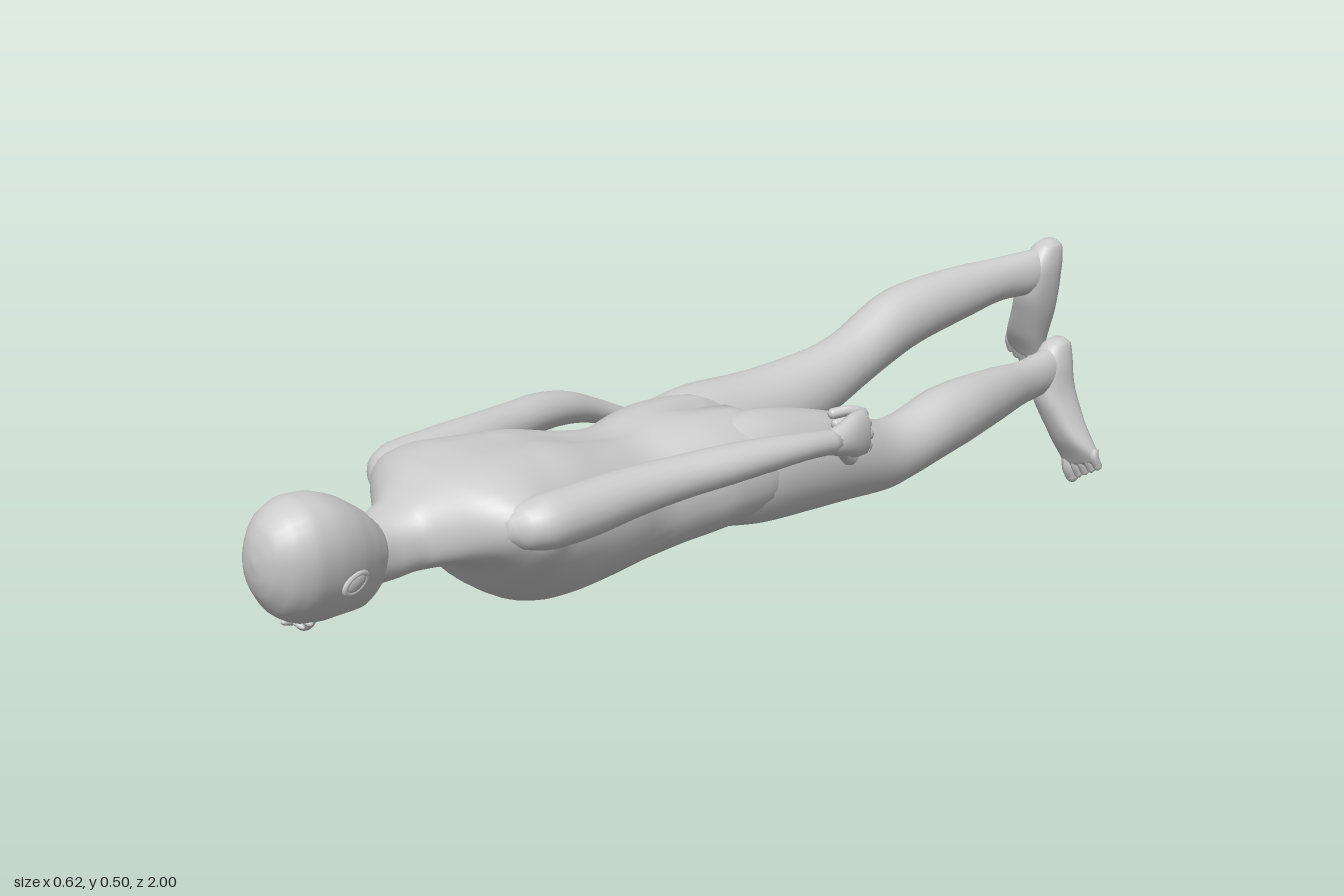
import * as THREE from 'three';

const material = new THREE.MeshStandardMaterial({ color: 0xcccccc, side: THREE.DoubleSide });
const V = (x, y, z) => new THREE.Vector3(x, y, z);
const bump = (t, centre, width) => Math.exp(-(((t - centre) / width) ** 2));

function add(parent, name, geometry) {
  const mesh = new THREE.Mesh(geometry, material);
  mesh.name = name;
  parent.add(mesh);
  return mesh;
}

// Smooth skin over rounded sections. Row: [along, centreU, centreV, radiusU, radiusV].
// Axis 'z' uses (u, v) = (x, y); axis 'y' uses (u, v) = (z, x). Power under 1 squares the section.
function loft(rows, { axis = 'z', sides = 20, steps = 4, power = 1, shape } = {}) {
  if (rows[0][0] > rows[rows.length - 1][0]) rows = [...rows].reverse();
  const centres = new THREE.CatmullRomCurve3(rows.map(r => V(r[1], r[2], r[0])));
  const radii = new THREE.CatmullRomCurve3(rows.map(r => V(r[3], r[4], 0)));
  const pow = c => Math.sign(c) * Math.abs(c) ** power;
  const count = (rows.length - 1) * steps;
  const pos = [], index = [];
  const put = (u, v, w, c) => {
    const p = axis === 'z' ? V(u, v, w) : V(v, w, u);
    if (shape) shape(p, c);
    pos.push(p.x, p.y, p.z);
  };
  for (let j = 0; j <= count; j++) {
    const c = centres.getPoint(j / count), r = radii.getPoint(j / count);
    for (let i = 0; i < sides; i++) {
      const a = i / sides * Math.PI * 2;
      put(c.x + r.x * pow(Math.cos(a)), c.y + r.y * pow(Math.sin(a)), c.z, c);
    }
  }
  for (let j = 0; j < count; j++) for (let i = 0; i < sides; i++) {
    const a = j * sides + i, b = j * sides + (i + 1) % sides;
    index.push(a, b, a + sides, b, b + sides, a + sides);
  }
  // Close both ends with a fan
  [0, count].forEach((j, end) => {
    const c = centres.getPoint(end), k = pos.length / 3;
    put(c.x, c.y, c.z, c);
    for (let i = 0; i < sides; i++) {
      const a = j * sides + i, b = j * sides + (i + 1) % sides;
      index.push(k, end ? a : b, end ? b : a);
    }
  });
  const g = new THREE.BufferGeometry();
  g.setAttribute('position', new THREE.Float32BufferAttribute(pos, 3));
  g.setIndex(index);
  g.computeVertexNormals();
  return g;
}

// Finger or toe: a bent tube with a round tip
function digit(parent, name, points, r) {
  add(parent, name, new THREE.TubeGeometry(new THREE.CatmullRomCurve3(points), 8, r, 8));
  add(parent, name + 'Tip', new THREE.SphereGeometry(r, 8, 6)).position.copy(points[points.length - 1]);
}

function ellipsoid(parent, name, [x, y, z], [sx, sy, sz]) {
  const mesh = add(parent, name, new THREE.SphereGeometry(1, 14, 10).scale(sx, sy, sz));
  mesh.position.set(x, y, z);
  return mesh;
}

function buildTorso(body) {
  const rows = [
    [-0.16, 0, 0.24, 0.05, 0.03], [-0.1, 0, 0.242, 0.14, 0.085], [-0.04, 0, 0.246, 0.175, 0.111],
    [0.05, 0, 0.246, 0.173, 0.118], [0.12, 0, 0.24, 0.16, 0.12], [0.2, 0.002, 0.228, 0.148, 0.119],
    [0.3, 0.005, 0.23, 0.167, 0.131], [0.4, 0.006, 0.238, 0.186, 0.146], [0.48, 0.004, 0.245, 0.207, 0.143],
    [0.54, 0, 0.262, 0.23, 0.125], [0.59, 0, 0.285, 0.207, 0.094], [0.625, 0, 0.288, 0.165, 0.082],
    [0.66, 0, 0.277, 0.114, 0.072], [0.69, 0, 0.265, 0.078, 0.064], [0.74, 0.004, 0.255, 0.057, 0.06],
    [0.81, 0.01, 0.255, 0.05, 0.055]];
  const shape = (p, c) => {
    const x = p.x, below = c.y - p.y;
    // Ribcage tapers towards the breastbone
    if (below > 0) p.x *= 1 - below * (0.8 * bump(p.z, 0.4, 0.22) + 2 * bump(p.z, 0.55, 0.08));
    // Spine groove and the cleft between the buttocks
    else p.y -= 0.014 * bump(x, 0, 0.03) * bump(p.z, 0.36, 0.2) + 0.045 * bump(x, 0, 0.02) * bump(p.z, -0.05, 0.085);
  };
  add(body, 'torso', loft(rows, { sides: 40, power: 0.88, shape }));
}

function buildHead(body) {
  const head = new THREE.Group();
  head.name = 'head';
  head.position.set(0.013, 0.27, 0);
  head.rotation.z = -0.22;
  body.add(head);
  const rows = [
    [0.735, 0, -0.015, 0.03, 0.035], [0.76, 0, -0.022, 0.054, 0.068], [0.785, 0, -0.021, 0.066, 0.091],
    [0.83, 0, -0.006, 0.081, 0.106], [0.88, 0, 0.004, 0.089, 0.115], [0.92, 0, 0.009, 0.089, 0.113],
    [0.96, 0, 0.014, 0.075, 0.094], [0.985, 0, 0.02, 0.05, 0.063], [0.995, 0, 0.022, 0.03, 0.036], [1.0, 0, 0.024, 0.004, 0.005]];
  // Face narrows gently towards the front
  const shape = p => { if (p.y < 0) p.x *= 1 + p.y * 1.2; };
  add(head, 'skull', loft(rows, { sides: 28, power: 0.88, shape }));
  ellipsoid(head, 'nose', [0, -0.119, 0.878], [0.014, 0.019, 0.02]);
  ellipsoid(head, 'noseBridge', [0, -0.11, 0.9], [0.009, 0.01, 0.03]);
  ellipsoid(head, 'upperLip', [0, -0.108, 0.84], [0.024, 0.008, 0.006]);
  ellipsoid(head, 'lowerLip', [0, -0.106, 0.828], [0.02, 0.008, 0.006]);
  ellipsoid(head, 'chin', [0, -0.1, 0.795], [0.028, 0.017, 0.02]);
  for (const s of [1, -1]) {
    ellipsoid(head, 'eye', [s * 0.03, -0.1, 0.898], [0.014, 0.007, 0.008]);
    ellipsoid(head, 'brow', [s * 0.028, -0.099, 0.917], [0.02, 0.006, 0.007]);
    // Ear: flat shell with a raised rim, leaning off the skull
    const ear = new THREE.Group();
    ear.name = 'ear';
    ear.position.set(s * 0.088, -0.008, 0.852);
    ear.rotation.set(0.25, s * 0.2, 0);
    head.add(ear);
    ellipsoid(ear, 'earShell', [0, 0, 0], [0.006, 0.015, 0.026]);
    add(ear, 'earRim', new THREE.TorusGeometry(0.016, 0.0045, 6, 16).rotateY(Math.PI / 2).scale(1, 0.95, 1.6));
  }
}

function buildArm(body, s, heights, roll) {
  const name = s > 0 ? 'left' : 'right';
  const sections = [
    [0.605, 0.175, 0.02, 0.018], [0.58, 0.19, 0.044, 0.038], [0.535, 0.202, 0.053, 0.049],
    [0.45, 0.207, 0.05, 0.05], [0.35, 0.214, 0.045, 0.045], [0.25, 0.232, 0.042, 0.039],
    [0.17, 0.25, 0.042, 0.036], [0.08, 0.268, 0.036, 0.031], [0, 0.281, 0.028, 0.025], [-0.08, 0.284, 0.021, 0.022]];
  add(body, name + 'Arm', loft(sections.map(([z, x, rx, ry], i) => [z, s * x, heights[i], rx, ry])));

  // Hand follows the wrist with the fingers curled towards the thigh
  const hand = new THREE.Group();
  hand.name = name + 'Hand';
  hand.position.set(s * 0.285, heights[9], -0.07);
  hand.rotation.z = roll;
  body.add(hand);
  add(hand, 'palm', loft([
    [0.02, 0, 0, 0.018, 0.02], [-0.02, 0, 0, 0.021, 0.03], [-0.06, -s * 0.006, 0, 0.021, 0.042],
    [-0.09, -s * 0.012, 0, 0.018, 0.042], [-0.1, -s * 0.014, 0, 0.009, 0.03]], { sides: 16 }));
  for (let i = 0; i < 4; i++) {
    const y = 0.031 - i * 0.0205, l = [0.88, 0.96, 1, 0.94][i];
    digit(hand, 'finger', [V(-s * 0.008, y, -0.085), V(-s * 0.025, y, -0.114 * l),
      V(-s * 0.058, y, -0.112 * l), V(-s * 0.074, y - 0.003, -0.085 * l)], 0.0105);
  }
  digit(hand, 'thumb', [V(0, -0.02, -0.02), V(-s * 0.016, -0.044, -0.05),
    V(-s * 0.036, -0.048, -0.08), V(-s * 0.055, -0.044, -0.092)], 0.0115);
}

function buildFoot(body, s, x, y) {
  const foot = new THREE.Group();
  foot.name = s > 0 ? 'leftFoot' : 'rightFoot';
  foot.position.set(x, y, 0);
  body.add(foot);
  const rows = [
    [0.304, -0.97, 0.03, 0.012, 0.012], [0.292, -0.966, 0.03, 0.03, 0.025], [0.25, -0.951, 0.033, 0.047, 0.034],
    [0.2, -0.949, 0.04, 0.049, 0.036], [0.15, -0.957, 0.056, 0.042, 0.041], [0.1, -0.967, 0.078, 0.032, 0.044],
    [0.065, -0.977, 0.091, 0.022, 0.045], [0.045, -0.982, 0.094, 0.016, 0.042], [0.036, -0.984, 0.095, 0.008, 0.034]];
  // Toe line slants back towards the little toe
  const shape = p => { if (p.y < 0.13) p.y += (s * p.x - 0.08) * 0.45 * (1 - p.y / 0.13); };
  add(foot, 'sole', loft(rows.map(([h, z, px, rz, rx]) => [h, z, s * px, rz, rx]), { axis: 'y', power: 0.82, shape }));
  for (let i = 0; i < 5; i++) {
    const r = i ? 0.0095 : 0.014, px = 0.067 + i * 0.0165, tip = 0.014 + i * 0.009;
    digit(foot, 'toe', [V(s * (px - 0.003), 0.07 + i * 0.004, -0.978), V(s * px, tip + 0.022, -0.975),
      V(s * (px + 0.002), tip, -0.985)], r);
  }
}

export function createModel() {
  const body = new THREE.Group();
  body.name = 'proneFigure';
  buildTorso(body);
  buildHead(body);
  buildArm(body, 1, [0.298, 0.3, 0.302, 0.306, 0.316, 0.326, 0.333, 0.338, 0.339, 0.333], 0.1);
  buildArm(body, -1, [0.298, 0.3, 0.302, 0.306, 0.314, 0.318, 0.318, 0.305, 0.278, 0.244], -0.5);

  // Legs grow out of the hips: the left lies lower, the right is raised behind
  const hip = [[0.1, 0.075, 0.245, 0.04, 0.06], [0.02, 0.086, 0.246, 0.077, 0.1]];
  const left = [...hip,
    [-0.07, 0.091, 0.243, 0.086, 0.108], [-0.2, 0.092, 0.228, 0.08, 0.097], [-0.3, 0.087, 0.21, 0.071, 0.084],
    [-0.4, 0.082, 0.19, 0.062, 0.069], [-0.46, 0.082, 0.196, 0.06, 0.065], [-0.55, 0.083, 0.22, 0.061, 0.068],
    [-0.62, 0.08, 0.23, 0.059, 0.065], [-0.75, 0.06, 0.235, 0.046, 0.054], [-0.85, 0.043, 0.236, 0.033, 0.044],
    [-0.92, 0.035, 0.241, 0.031, 0.045], [-0.97, 0.033, 0.247, 0.026, 0.041]];
  const right = [...hip.map(([z, x, ...rest]) => [z, -x, ...rest]),
    [-0.07, -0.09, 0.25, 0.087, 0.107], [-0.2, -0.083, 0.264, 0.08, 0.093], [-0.3, -0.074, 0.285, 0.07, 0.081],
    [-0.4, -0.063, 0.315, 0.06, 0.068], [-0.46, -0.063, 0.338, 0.058, 0.065], [-0.55, -0.063, 0.378, 0.059, 0.068],
    [-0.62, -0.06, 0.4, 0.057, 0.064], [-0.75, -0.043, 0.423, 0.044, 0.054], [-0.85, -0.024, 0.438, 0.033, 0.044],
    [-0.92, -0.009, 0.442, 0.031, 0.045], [-0.97, -0.006, 0.446, 0.026, 0.041]];
  add(body, 'leftLeg', loft(left, { sides: 24 }));
  add(body, 'rightLeg', loft(right, { sides: 24 }));
  buildFoot(body, 1, 0, 0);
  buildFoot(body, -1, 0.027, 0.2);
  return body;
}
